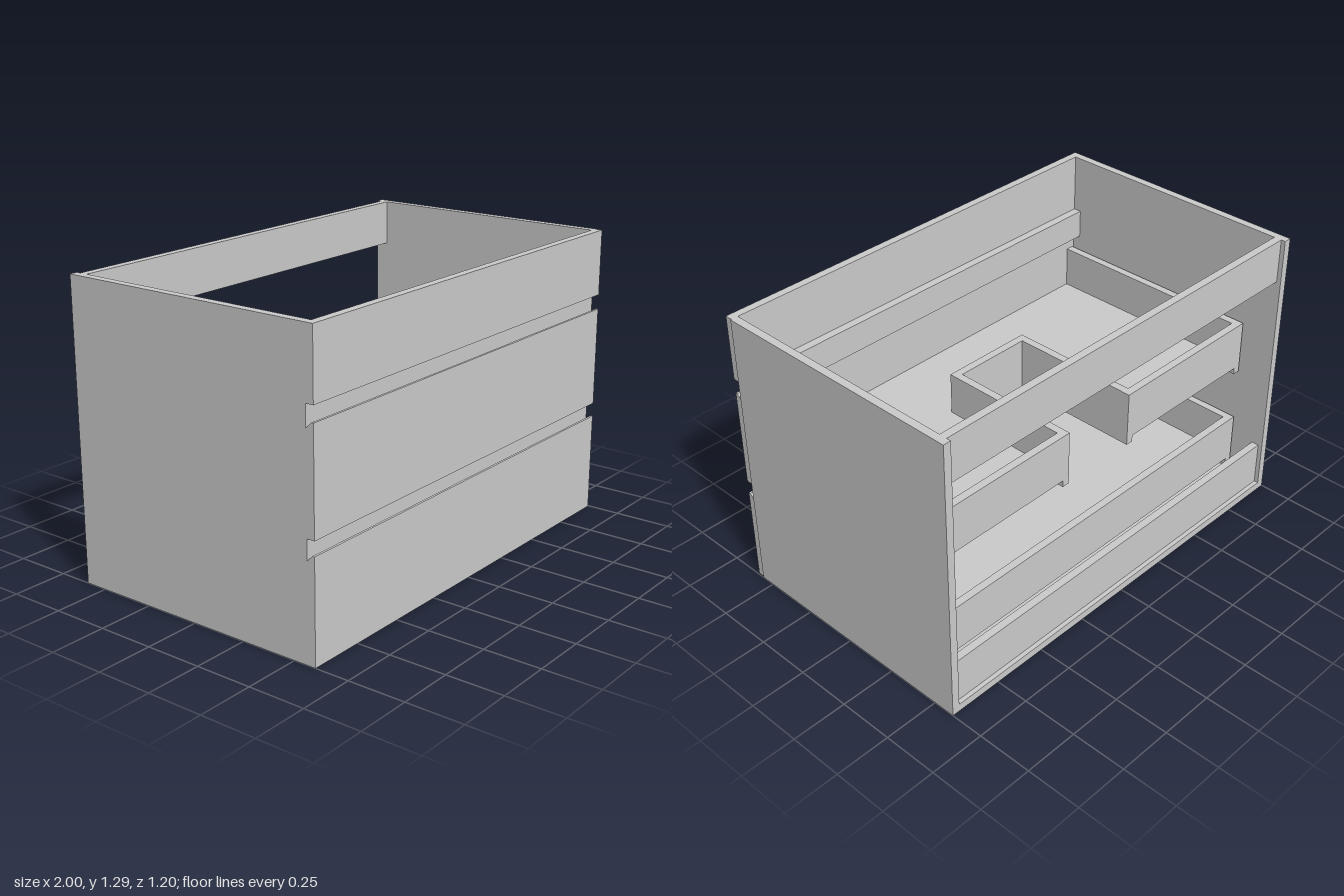
import * as THREE from 'three';

const material = new THREE.MeshStandardMaterial({ color: 0xcccccc, flatShading: true });
const T = 0.035; // board thickness

// Board given by its min and max corners
function board(parent, name, [x0, x1], [y0, y1], [z0, z1]) {
  const mesh = new THREE.Mesh(new THREE.BoxGeometry(x1 - x0, y1 - y0, z1 - z0), material);
  mesh.position.set((x0 + x1) / 2, (y0 + y1) / 2, (z0 + z1) / 2);
  mesh.name = name;
  parent.add(mesh);
}

// Drawer front with a finger-grip bevel along its rear top edge
function drawerFront(parent, y0, y1) {
  const profile = new THREE.Shape([
    [0.565, y0], [0.6, y0], [0.6, y1], [0.59, y1], [0.565, y1 - 0.025],
  ].map(([z, y]) => new THREE.Vector2(z, y)));
  const geometry = new THREE.ExtrudeGeometry(profile, { depth: 1.995, bevelEnabled: false });
  geometry.rotateY(-Math.PI / 2).translate(0.995, 0, 0);
  const mesh = new THREE.Mesh(geometry, material);
  mesh.name = 'drawerFront';
  parent.add(mesh);
}

// Drawer box; with a cutout it wraps around the plumbing space at the back
function drawer(name, base, frontY, cutout) {
  const group = new THREE.Group();
  group.name = name;
  const L = -0.955, R = 0.945, back = -0.44, front = 0.565;
  const side = [base, base + 0.25];
  const floor = [base + 0.03, base + 0.06];
  const wall = [base + 0.06, base + 0.25];
  board(group, 'drawerSide', [L, L + T], side, [back, front]);
  board(group, 'drawerSide', [R - T, R], side, [back, front]);
  if (cutout) {
    const [c0, c1, cz] = cutout; // edges of the open notch
    for (const [a, b] of [[L + T, c0 - T], [c1 + T, R - T]]) {
      board(group, 'drawerBack', [a, b], wall, [back, back + T]);
      board(group, 'drawerFloor', [a, b], floor, [back, front]);
    }
    board(group, 'cutoutSide', [c0 - T, c0], side, [back, cz + T]);
    board(group, 'cutoutSide', [c1, c1 + T], side, [back, cz + T]);
    board(group, 'cutoutBack', [c0, c1], side, [cz, cz + T]);
    board(group, 'drawerFloor', [c0 - T, c1 + T], floor, [cz + T, front]);
  } else {
    board(group, 'drawerBack', [L + T, R - T], wall, [back, back + T]);
    board(group, 'drawerFloor', [L + T, R - T], floor, [back, front]);
  }
  drawerFront(group, ...frontY);
  return group;
}

export function createModel() {
  const model = new THREE.Group();
  model.name = 'vanityCabinet';
  const H = 1.295, inner = [-1 + T, 1 - T];

  // Carcass
  board(model, 'sidePanel', [-1, -1 + T], [0, H], [-0.6, 0.565]);
  board(model, 'sidePanel', [1 - T, 1], [0, H], [-0.6, 0.565]);
  board(model, 'bottomPanel', inner, [0, T], [-0.6, 0.565]);
  board(model, 'upperBackRail', inner, [H - 0.2, H], [-0.58, -0.545]);
  board(model, 'lowerBackRail', inner, [T, 0.24], [-0.58, -0.545]);
  board(model, 'topFrontPanel', [-1, 0.995], [1.005, H], [0.565, 0.6]);

  // Rails closing the grip gaps
  for (const y of [0.4, 0.9]) board(model, 'gripRail', inner, [y, y + 0.13], [0.528, 0.565]);

  // Drawers
  model.add(drawer('lowerDrawer', 0.085, [0, 0.44]));
  model.add(drawer('upperDrawer', 0.585, [0.5, 0.94], [-0.185, 0.175, 0.16]));
  return model;
}
